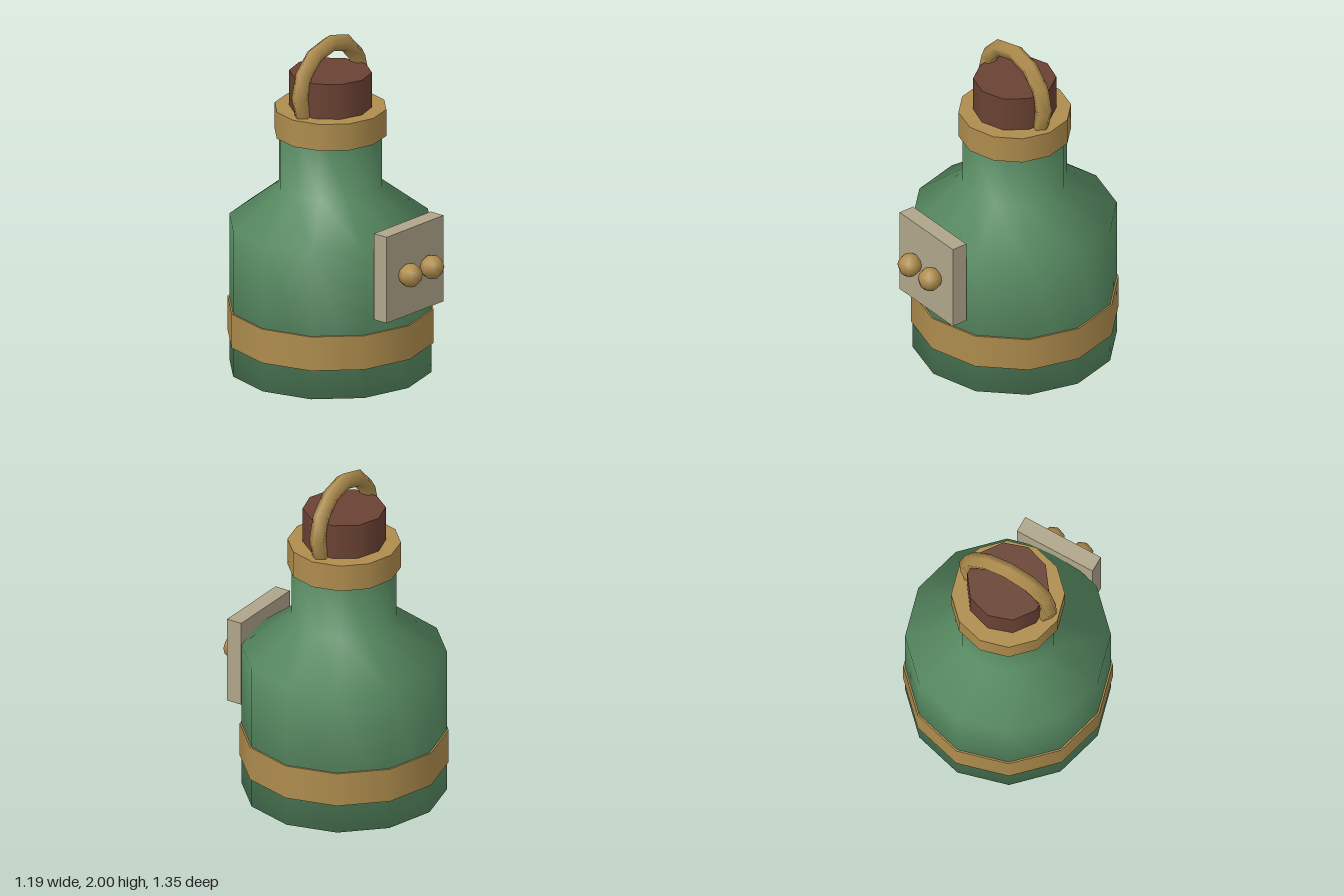
import * as THREE from 'three';

const material = (color) => new THREE.MeshStandardMaterial({ color });

export function createModel() {
  const model = new THREE.Group();
  const green = material(0x5a8f65);
  const brass = material(0xae8c4d);
  const cork = material(0x6a4233);
  const beige = material(0xb0a58a);

  const add = (parent, name, geometry, mat, x, y, z) => {
    const mesh = new THREE.Mesh(geometry, mat);
    mesh.name = name;
    mesh.position.set(x, y, z);
    parent.add(mesh);
    return mesh;
  };
  const drum = (r, bottom, top, sides, name, mat) =>
    add(bottle, name, new THREE.CylinderGeometry(r, r, top - bottom, sides), mat, 0, (bottom + top) / 2, 0);

  // Everything turned around the bottle's axis, set slightly back
  const bottle = new THREE.Group();
  bottle.name = 'bottle';
  bottle.position.z = -0.08;
  model.add(bottle);

  // Twelve-sided body with sloping shoulder and straight neck
  const profile = [[0, 0], [0.587, 0], [0.587, 0.88], [0.3, 1.1], [0.3, 1.5]]
    .map(([r, y]) => new THREE.Vector2(r, y));
  add(bottle, 'body', new THREE.LatheGeometry(profile, 12), green, 0, 0, 0);

  // Bands and stopper
  drum(0.597, 0.175, 0.38, 12, 'lowerBand', brass);
  drum(0.324, 1.41, 1.57, 12, 'neckRing', brass);
  drum(0.237, 1.5, 1.78, 10, 'stopper', cork);

  // Ring handle, its lower part sunk into the neck
  add(bottle, 'handle', new THREE.TorusGeometry(0.27, 0.05, 5, 12), brass, 0, 1.68, 0);

  // Front plate with two round studs
  add(model, 'frontPlate', new THREE.BoxGeometry(0.495, 0.52, 0.097), beige, 0, 0.73, 0.51);
  for (const side of [-1, 1]) {
    add(model, side < 0 ? 'rightStud' : 'leftStud',
      new THREE.SphereGeometry(0.07, 8, 6), brass, side * 0.094, 0.73, 0.605);
  }
  return model;
}
